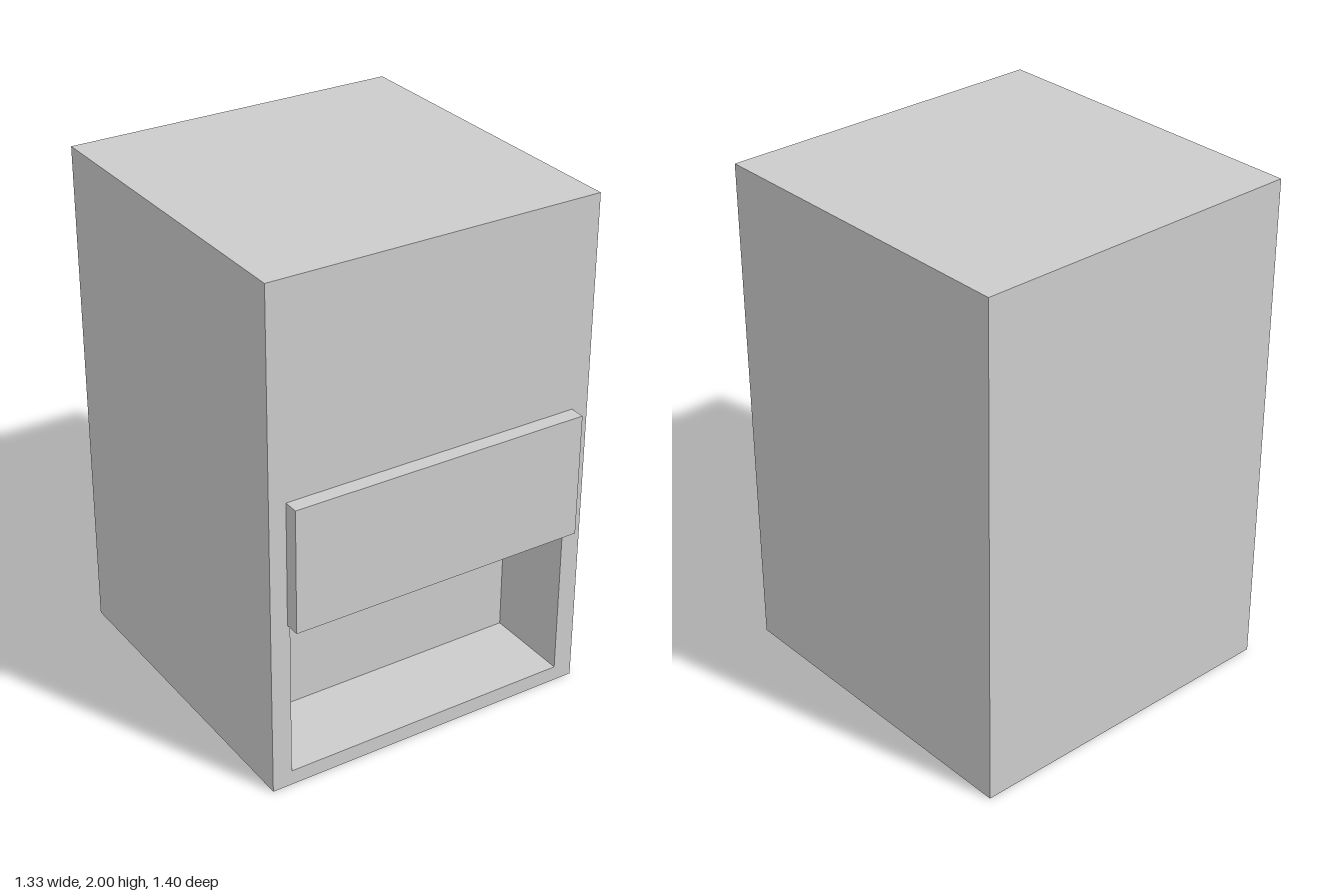
import * as THREE from 'three';

const material = new THREE.MeshStandardMaterial({ color: 0xcccccc, flatShading: true });

const WIDTH = 1.33, HEIGHT = 2;
const BACK = -0.7, RECESS_BACK = 0.29, FRONT = 0.64, PANEL_FRONT = 0.7;

// Closed rectangle traced from its left, bottom, right and top limits
function rectangle(PathType, x0, y0, x1, y1) {
  const path = new PathType();
  path.moveTo(x0, y0);
  path.lineTo(x1, y0);
  path.lineTo(x1, y1);
  path.lineTo(x0, y1);
  path.closePath();
  return path;
}

// Box given by width, vertical limits and depth limits, centred on x
function addBox(group, name, width, y0, y1, z0, z1) {
  const mesh = new THREE.Mesh(new THREE.BoxGeometry(width, y1 - y0, z1 - z0), material);
  mesh.name = name;
  mesh.position.set(0, (y0 + y1) / 2, (z0 + z1) / 2);
  group.add(mesh);
}

export function createModel() {
  const model = new THREE.Group();
  model.name = 'cabinet';

  // Solid rear of the cabinet; its front face closes the recess
  addBox(model, 'cabinetBody', WIDTH, 0, HEIGHT, BACK, RECESS_BACK);

  // Front section with the rectangular opening, which runs up behind the panel
  const outline = rectangle(THREE.Shape, -WIDTH / 2, 0, WIDTH / 2, HEIGHT);
  outline.holes.push(rectangle(THREE.Path, -0.587, 0.06, 0.587, 1.17));
  const frame = new THREE.Mesh(
    new THREE.ExtrudeGeometry(outline, { depth: FRONT - RECESS_BACK, bevelEnabled: false }),
    material
  );
  frame.name = 'frontFrame';
  frame.position.z = RECESS_BACK;
  model.add(frame);

  // Raised panel covering the upper part of the opening
  addBox(model, 'frontPanel', 1.195, 0.69, 1.18, FRONT, PANEL_FRONT);

  return model;
}
